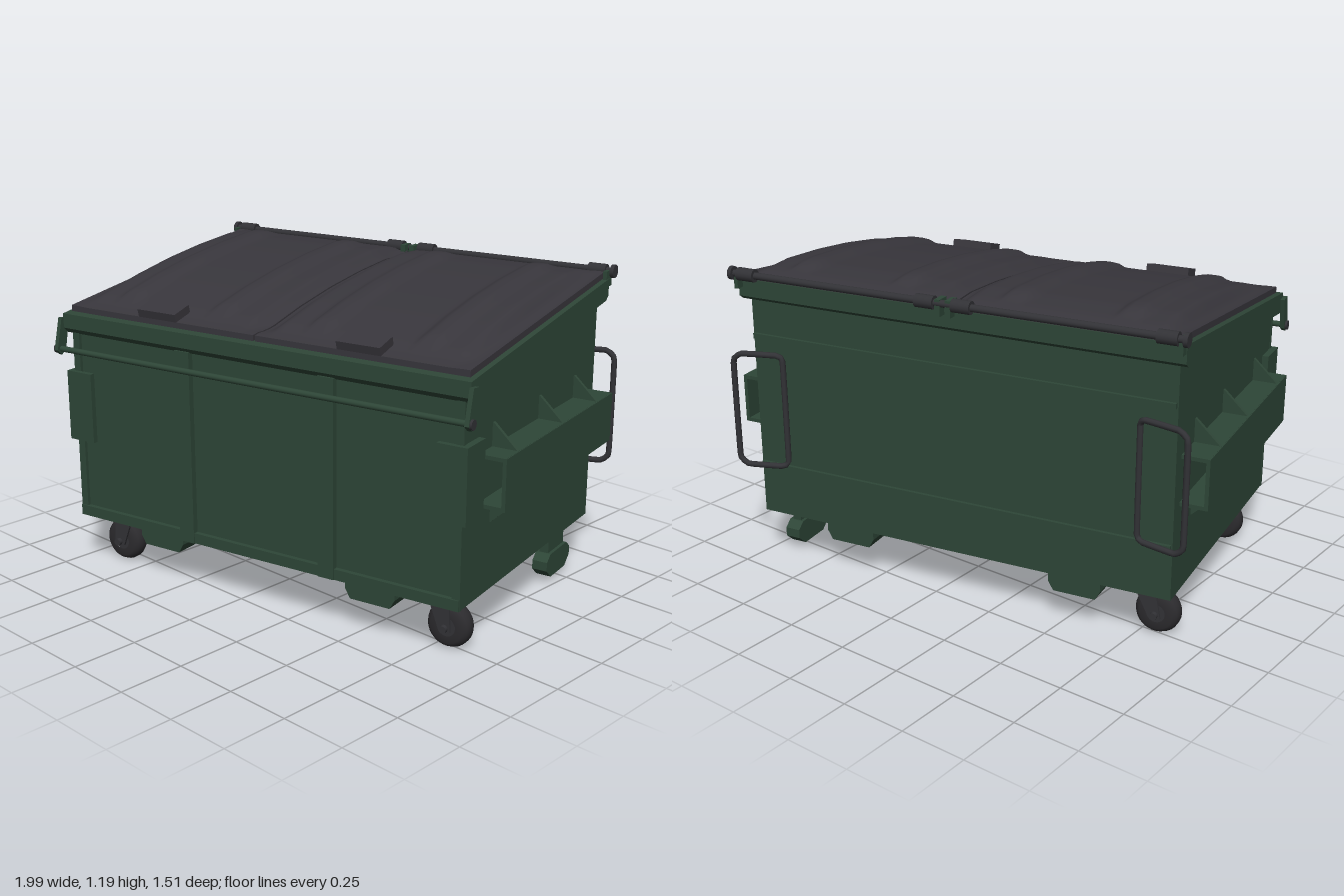
import * as THREE from 'three';

const mat = (name, color, side = THREE.FrontSide) => {
  const m = new THREE.MeshStandardMaterial({ color, side });
  m.name = name;
  return m;
};

export function createModel() {
  const green = mat('green paint', 0x2e4637);
  const lidGrey = mat('lid plastic', 0x38363c);
  const dark = mat('dark metal', 0x323236);
  const rubber = mat('tyre rubber', 0x2c2b2e);

  const root = new THREE.Group();
  root.name = 'dumpster';
  const bin = new THREE.Group();
  bin.name = 'turnedBin';
  bin.rotation.y = 0.203;
  root.add(bin);

  const add = (name, geo, m, x = 0, y = 0, z = 0, parent = bin) => {
    const mesh = new THREE.Mesh(geo, m);
    mesh.name = name;
    mesh.position.set(x, y, z);
    parent.add(mesh);
    return mesh;
  };
  const box = (name, m, w, h, d, x, y, z, parent) =>
    add(name, new THREE.BoxGeometry(w, h, d), m, x, y, z, parent);
  const rod = (name, m, r, len, x, y, z, axis, parent) => {
    const g = new THREE.CylinderGeometry(r, r, len, 14);
    if (axis === 'x') g.rotateZ(Math.PI / 2);
    if (axis === 'z') g.rotateX(Math.PI / 2);
    return add(name, g, m, x, y, z, parent);
  };
  // Side profile of [z, y] points, swept across x
  const sideExtrude = (name, m, pts, width, x) => {
    const shape = new THREE.Shape(pts.map(([z, y]) => new THREE.Vector2(-z, y)));
    const g = new THREE.ExtrudeGeometry(shape, { depth: width, bevelEnabled: false });
    g.translate(0, 0, -width / 2).rotateY(Math.PI / 2);
    return add(name, g, m, x);
  };

  // Height of the sloping rim along z
  const rimY = z => 1.065 - z * 0.118;

  // Body and sloping rim
  sideExtrude('body', green, [[0.52, 0.2], [-0.52, 0.2], [-0.52, 1.1], [0.52, 0.97]], 1.65, 0);
  sideExtrude('rim', green, [[0.53, 0.925], [-0.53, 1.05], [-0.55, 1.065], [-0.55, 1.13], [0.55, 1.0], [0.55, 0.945]], 1.71, 0);

  // Front ribs, corner strips and sill
  for (const x of [-0.305, 0.305]) box('frontRib', green, 0.065, 0.73, 0.025, x, 0.565, 0.53);
  for (const s of [-1, 1]) box('frontCornerStrip', green, 0.03, 0.73, 0.015, s * 0.812, 0.565, 0.525);
  box('frontSill', green, 1.65, 0.04, 0.02, 0, 0.22, 0.528);

  // Back rails
  for (const y of [0.4, 0.91]) box('backRail', green, 1.64, 0.02, 0.016, 0, y, -0.525);

  // Lids: domed boxes with bevelled edges and raised ribs
  const dome = z => {
    const p = [[-0.56, 1.15], [-0.5, 1.165], [-0.37, 1.172], [-0.17, 1.158], [0.03, 1.135],
      [0.23, 1.102], [0.42, 1.06], [0.47, 1.035], [0.53, 1.025]];
    for (let i = 1; i < p.length; i++) {
      if (z <= p[i][0]) {
        const t = (z - p[i - 1][0]) / (p[i][0] - p[i - 1][0]);
        return p[i - 1][1] + t * (p[i][1] - p[i - 1][1]);
      }
    }
    return 1.025;
  };
  const ss = THREE.MathUtils.smoothstep;
  const lidTop = (x, z) => {
    const a = Math.abs(x);
    const edge = rimY(z) + 0.025;
    let y = dome(z);
    y = edge + (y - edge) * ss(0.836 - a, 0.02, 0.08);
    y -= 0.03 * (1 - ss(a, 0.015, 0.07)) * ss(0.5 - z, 0, 0.1);
    const fade = ss(z, -0.5, -0.42) * (1 - ss(z, 0.38, 0.45));
    for (const c of [0.21, 0.63]) y += 0.018 * fade * (1 - ss(Math.abs(a - c), 0.025, 0.055));
    return Math.max(y, rimY(z) + 0.015);
  };
  for (const s of [-1, 1]) {
    const g = new THREE.BoxGeometry(0.832, 1, 1.07, 56, 1, 36);
    g.translate(s * 0.42, 0, -0.015);
    const p = g.attributes.position;
    for (let i = 0; i < p.count; i++) {
      const x = p.getX(i), z = p.getZ(i);
      p.setY(i, p.getY(i) > 0 ? lidTop(x, z) : rimY(z) + 0.002);
    }
    g.computeVertexNormals();
    add('lid', g, lidGrey);
    const grip = box('lidGrip', lidGrey, 0.17, 0.03, 0.085, s * 0.424, 1.052, 0.485);
    grip.rotation.x = 0.25;
  }

  // Lid hinge rod with knuckles and brackets
  rod('hingeRod', dark, 0.013, 1.72, 0, 1.155, -0.572, 'x');
  for (const s of [-1, 1]) {
    for (const x of [0.07, 0.8]) rod('hingeKnuckle', dark, 0.024, 0.07, s * x, 1.155, -0.572, 'x');
    rod('hingeEnd', dark, 0.025, 0.015, s * 0.862, 1.155, -0.572, 'x');
    box('hingeBracket', green, 0.02, 0.06, 0.05, s * 0.02, 1.14, -0.558);
    box('hingeBracket', green, 0.015, 0.06, 0.05, s * 0.845, 1.13, -0.555);
  }

  // Front bar hung from two arms
  rod('frontBar', green, 0.011, 1.74, 0, 0.868, 0.568, 'x');
  for (const s of [-1, 1]) {
    sideExtrude('frontBarArm', green, [[0.52, 0.98], [0.545, 0.86], [0.568, 0.845], [0.59, 0.865], [0.56, 0.985]], 0.016, s * 0.862);
    rod('frontBarCap', dark, 0.018, 0.012, s * 0.872, 0.868, 0.568, 'x');
  }

  for (const s of [-1, 1]) {
    // Fork pocket, open at both ends
    box('pocketOuter', green, 0.014, 0.185, 0.89, s * 0.918, 0.627, -0.025);
    for (const y of [0.541, 0.713]) box('pocketWall', green, 0.1, 0.014, 0.89, s * 0.872, y, -0.025);
    // Gussets above and below the pocket
    for (const z of [0.32, -0.04, -0.34]) {
      for (const d of [-1, 1]) {
        const y0 = 0.627 + d * 0.092;
        const shape = new THREE.Shape([
          new THREE.Vector2(s * 0.82, y0),
          new THREE.Vector2(s * 0.918, y0),
          new THREE.Vector2(s * 0.828, y0 + d * 0.085),
          new THREE.Vector2(s * 0.82, y0 + d * 0.085),
        ]);
        add('pocketGusset', new THREE.ExtrudeGeometry(shape, { depth: 0.014, bevelEnabled: false }), green, 0, 0, z - 0.007);
      }
    }
    // Plates wrapped round the front corner
    box('cornerPlateFront', green, 0.115, 0.27, 0.02, s * 0.792, 0.645, 0.54);
    box('cornerPlateSide', green, 0.025, 0.27, 0.125, s * 0.837, 0.645, 0.4875);
    // Grab handle round the back corner
    const loop = new THREE.CatmullRomCurve3([
      [0.7, 0.43, -0.53], [0.72, 0.41, -0.54], [0.85, 0.41, -0.575], [0.882, 0.44, -0.58],
      [0.882, 0.82, -0.58], [0.85, 0.85, -0.575], [0.72, 0.85, -0.54], [0.7, 0.83, -0.53],
    ].map(([x, y, z]) => new THREE.Vector3(s * x, y, z)), true, 'catmullrom', 0.1);
    add('grabHandle', new THREE.TubeGeometry(loop, 64, 0.011, 8, true), dark);
    // Skid channel under the floor
    const skid = new THREE.Shape([[-0.1, 0.2], [-0.1, 0.16], [-0.08, 0.125], [0.08, 0.125], [0.1, 0.16], [0.1, 0.2]]
      .map(([x, y]) => new THREE.Vector2(x, y)));
    add('skid', new THREE.ExtrudeGeometry(skid, { depth: 1, bevelEnabled: false }), green, s * 0.46, 0, -0.5);
  }

  // Casters
  const tyreProfile = [[0.035, -0.036], [0.062, -0.036], [0.076, -0.025], [0.083, -0.01],
    [0.083, 0.01], [0.076, 0.025], [0.062, 0.036], [0.035, 0.036]].map(([r, y]) => new THREE.Vector2(r, y));
  for (const [x, z, trail] of [[-0.71, 0.41, -0.025], [0.73, 0.405, 0.025], [-0.74, -0.39, -0.04]]) {
    const caster = new THREE.Group();
    caster.name = 'caster';
    caster.position.set(x, 0, z);
    bin.add(caster);
    const tyre = new THREE.LatheGeometry(tyreProfile, 28);
    tyre.rotateX(Math.PI / 2);
    add('tyre', tyre, rubber, 0, 0.083, 0, caster);
    rod('hub', dark, 0.04, 0.06, 0, 0.083, 0, 'z', caster);
    rod('axle', dark, 0.014, 0.13, 0, 0.083, 0, 'z', caster);
    box('mountPlate', green, 0.14, 0.016, 0.11, -trail, 0.193, 0, caster);
    rod('swivel', dark, 0.035, 0.02, -trail, 0.178, 0, 'y', caster);
    const leg = new THREE.Shape([[-trail - 0.04, 0.185], [-0.022, 0.07], [0.022, 0.07], [-trail + 0.04, 0.185]]
      .map(([a, b]) => new THREE.Vector2(a, b)));
    for (const d of [-1, 1]) {
      add('forkLeg', new THREE.ExtrudeGeometry(leg, { depth: 0.008, bevelEnabled: false }), dark, 0, 0, d * 0.046 - 0.004, caster);
    }
  }

  // Fixed foot at the remaining corner
  sideExtrude('footPost', green, [[-0.265, 0.2], [-0.265, 0.1], [-0.4, 0.1], [-0.4, 0.2]], 0.035, 0.77);
  sideExtrude('foot', green, [[-0.23, 0.09], [-0.26, 0.115], [-0.405, 0.115], [-0.435, 0.09], [-0.435, 0.055],
    [-0.395, 0.02], [-0.27, 0.02], [-0.23, 0.055]], 0.06, 0.77);

  return root;
}
